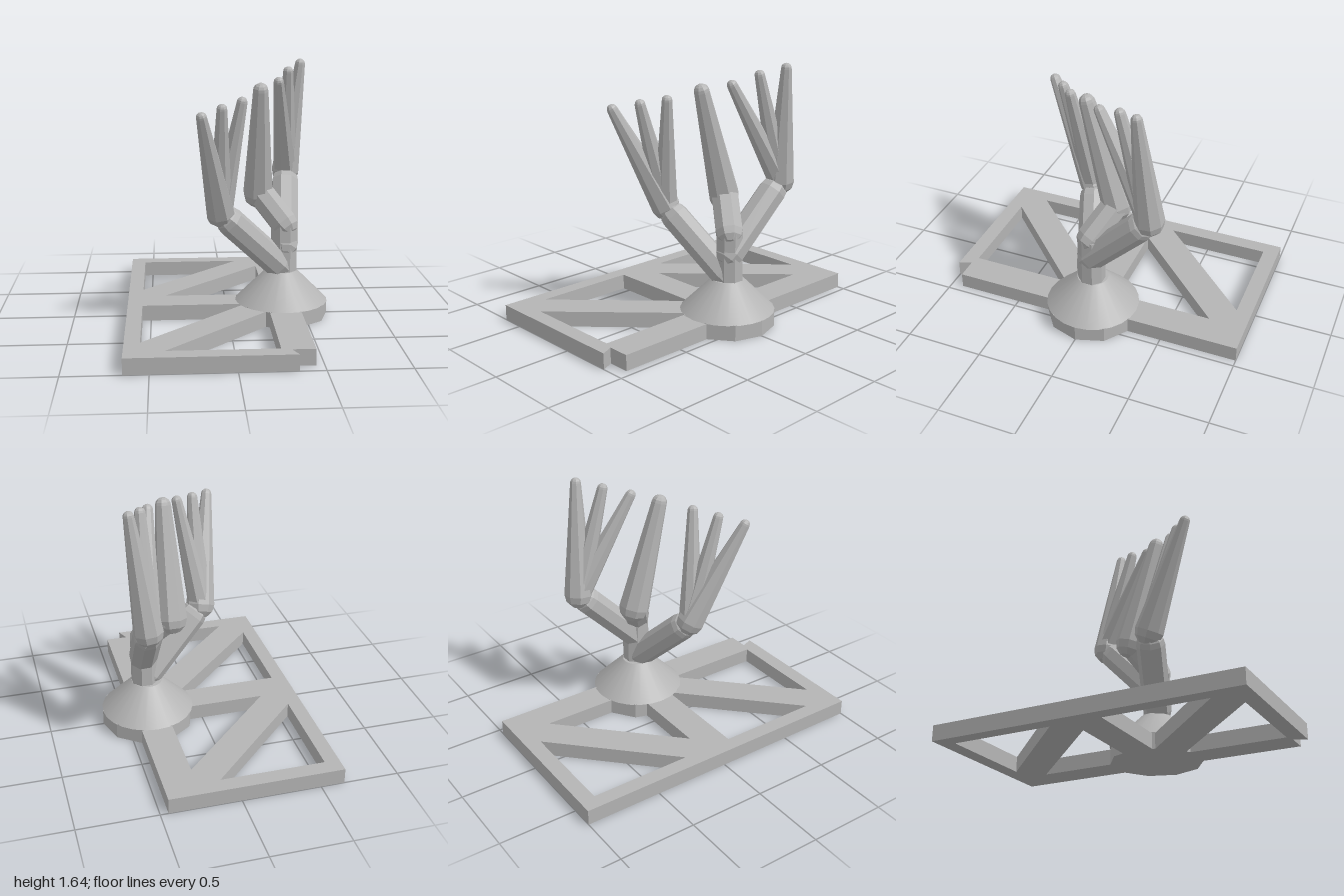
import * as THREE from 'three';

const UP = new THREE.Vector3(0, 1, 0);

export function createModel() {
  const model = new THREE.Group();
  model.name = 'handTree';
  const grey = new THREE.MeshStandardMaterial({ color: 0xb4b4b4 });
  grey.name = 'plain grey';
  const faceted = new THREE.MeshStandardMaterial({ color: 0xb4b4b4, flatShading: true });
  faceted.name = 'faceted grey';

  const add = (name, geometry, material, parent = model) => {
    const mesh = new THREE.Mesh(geometry, material);
    mesh.name = name;
    parent.add(mesh);
    return mesh;
  };

  // Tapered eight-sided limb with a domed end at each joint
  const limb = (name, a, b, ra, rb, parent = model) => {
    const from = new THREE.Vector3(...a);
    const dir = new THREE.Vector3(...b).sub(from);
    const length = dir.length();
    const profile = [];
    for (let i = 0; i <= 3; i++) {
      const t = (i / 3) * Math.PI / 2;
      profile.push(new THREE.Vector2(ra * Math.sin(t), -ra * Math.cos(t)));
    }
    for (let i = 0; i <= 4; i++) {
      const t = (i / 4) * Math.PI / 2;
      profile.push(new THREE.Vector2(rb * Math.cos(t), length - rb + rb * Math.sin(t)));
    }
    const mesh = add(name, new THREE.LatheGeometry(profile, 8, Math.PI / 8), faceted, parent);
    mesh.position.copy(from);
    mesh.quaternion.setFromUnitVectors(UP, dir.normalize());
    return mesh;
  };

  // Flat braced frame; plan points are [x, z]
  const plan = (pts) => pts.map(([x, z]) => new THREE.Vector2(x, -z));
  const outline = new THREE.Shape(plan([
    [-0.65, 1], [0.345, 1], [0.31, 0.92], [0.45, 0.92], [0.45, -1], [-0.65, -1],
  ]));
  for (const z of [-0.9, 0.1]) {
    const s = z < 0 ? 0 : 1;
    outline.holes.push(new THREE.Path(plan([[-0.555, z], [0.107, z], [-0.555, z + 0.662]])));
    outline.holes.push(new THREE.Path(plan([[0.25, -0.76 + s], [0.25, -0.1 + s], [-0.41, -0.1 + s]])));
  }
  const frame = new THREE.ExtrudeGeometry(outline, { depth: 0.1, bevelEnabled: false });
  frame.rotateX(-Math.PI / 2);
  add('frame', frame, faceted);

  // Round foot with a cone above it
  const foot = new THREE.CylinderGeometry(0.3, 0.3, 0.102, 10, 1, false, Math.PI / 2);
  add('foot', foot, faceted).position.set(0.35, 0.051, 0);
  const cone = new THREE.CylinderGeometry(0.1, 0.3, 0.2, 24);
  add('cone', cone, grey).position.set(0.35, 0.2, 0);

  // Post and middle finger
  const post = new THREE.CylinderGeometry(0.088, 0.088, 0.34, 8, 1, false, Math.PI / 8);
  add('post', post, faceted).position.set(0.365, 0.45, 0);
  limb('middleBranch', [0.365, 0.61, 0.005], [0.17, 0.85, -0.14], 0.09, 0.09);
  limb('middleFinger', [0.205, 0.79, -0.11], [0.2, 1.525, 0.1], 0.1, 0.05);

  // Two side branches, each ending in three fingers
  const hands = [
    { name: 'front', start: [0.33, 0.34, 0.02], elbow: [-0.055, 0.72, 0.155],
      tips: [[-0.188, 1.395, 0.487], [-0.056, 1.43, 0.368], [0.078, 1.46, 0.258]] },
    { name: 'back', start: [0.37, 0.47, 0], elbow: [0.415, 0.88, -0.4],
      tips: [[0.503, 1.64, -0.337], [0.405, 1.6, -0.195], [0.323, 1.545, -0.03]] },
  ];
  for (const { name, start, elbow, tips } of hands) {
    const hand = new THREE.Group();
    hand.name = name + 'Hand';
    model.add(hand);
    limb(name + 'Branch', start, elbow, 0.092, 0.092, hand);
    tips.forEach((tip, i) => {
      limb(name + 'Finger' + (i + 1), elbow, tip, i ? 0.08 : 0.094, 0.034, hand);
    });
  }
  return model;
}
